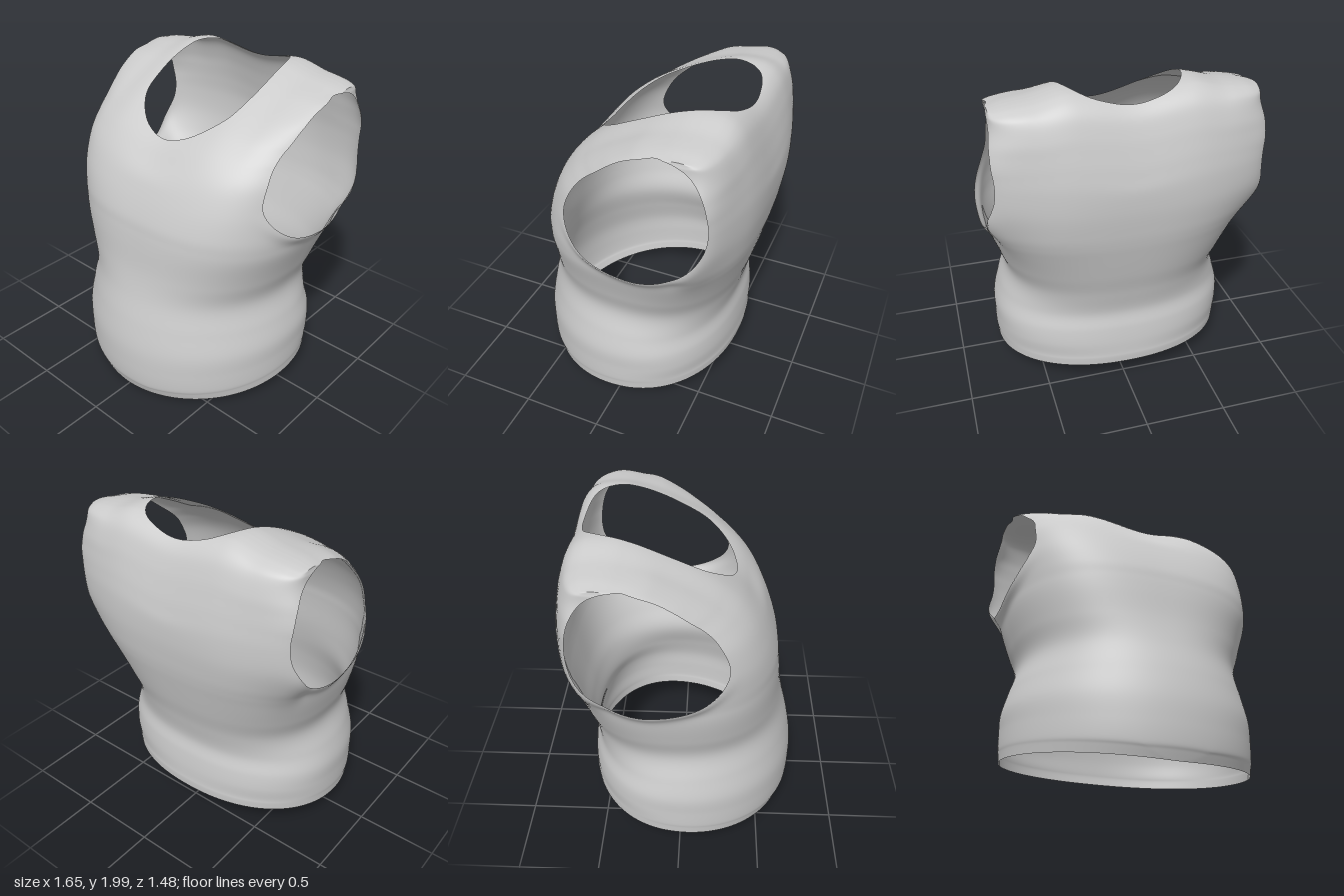
import * as THREE from 'three';
import { mergeVertices } from 'three/addons/utils/BufferGeometryUtils.js';

// body cross-sections, hem to shoulder ridge:
// y, half width, front z, back z, z of widest point, front squareness, back squareness
const SECTIONS = [
  [0.000, 0.758, 0.705, -0.605, -0.01, 2.0, 2.2],
  [0.050, 0.762, 0.722, -0.608, -0.01, 2.0, 2.2],
  [0.090, 0.766, 0.734, -0.606, -0.01, 2.0, 2.2],
  [0.200, 0.766, 0.740, -0.602, -0.01, 2.0, 2.3],
  [0.350, 0.764, 0.735, -0.590, -0.01, 2.0, 2.3],
  [0.520, 0.730, 0.705, -0.570, -0.01, 2.0, 2.3],
  [0.700, 0.687, 0.660, -0.600, -0.02, 2.1, 2.4],
  [0.860, 0.728, 0.630, -0.645, -0.05, 2.3, 2.5],
  [1.030, 0.776, 0.613, -0.687, -0.09, 2.5, 2.7],
  [1.120, 0.790, 0.602, -0.707, -0.11, 2.6, 2.9],
  [1.210, 0.798, 0.586, -0.721, -0.13, 2.7, 3.1],
  [1.350, 0.800, 0.535, -0.735, -0.15, 2.9, 3.3],
  [1.500, 0.800, 0.460, -0.735, -0.18, 3.0, 3.3],
  [1.620, 0.797, 0.370, -0.718, -0.22, 3.0, 3.4],
  [1.720, 0.790, 0.250, -0.695, -0.27, 3.4, 3.7],
  [1.810, 0.780, 0.100, -0.670, -0.32, 4.8, 4.2],
  [1.900, 0.770, -0.080, -0.635, -0.37, 8.0, 4.5],
  [1.955, 0.766, -0.210, -0.590, -0.40, 9.0, 5.0],
  [1.986, 0.762, -0.310, -0.535, -0.42, 9.0, 6.0],
  [1.997, 0.760, -0.370, -0.482, -0.427, 9.0, 8.0],
  [2.000, 0.760, -0.427, -0.427, -0.427, 9.0, 9.0],
];
// hole outlines: armhole as (z, y), neckline as (x, z)
const ARMHOLE = [[0.28, 1.40], [0.2, 1.58], [0.05, 1.72], [-0.1, 1.83], [-0.25, 1.89], [-0.36, 1.9],
  [-0.47, 1.86], [-0.56, 1.74], [-0.6, 1.55], [-0.58, 1.4], [-0.5, 1.27], [-0.38, 1.17], [-0.2, 1.12],
  [0, 1.145], [0.15, 1.205], [0.25, 1.3]];
const NECK = [[0.36, -0.2], [0.355, -0.02], [0.32, 0.14], [0.2, 0.265], [0.06, 0.315], [-0.06, 0.315], [-0.2, 0.265],
  [-0.32, 0.14], [-0.355, -0.02], [-0.36, -0.2], [-0.33, -0.41], [-0.25, -0.53], [-0.1, -0.575], [0.1, -0.575],
  [0.25, -0.53], [0.33, -0.41]];

const smooth = THREE.MathUtils.smoothstep;
const bell = (v, width) => Math.exp(-((v / width) ** 2));

// signed distance outside a rounded outline, measured along rays from its middle
function outline(points, cx, cy) {
  const curve = new THREE.CatmullRomCurve3(points.map(([a, b]) => new THREE.Vector3(a - cx, b - cy, 0)), true);
  const polar = curve.getPoints(300).map(p => [Math.atan2(p.y, p.x), Math.hypot(p.x, p.y)]).sort((a, b) => a[0] - b[0]);
  const first = polar[0], last = polar[polar.length - 1];
  polar.unshift([last[0] - 2 * Math.PI, last[1]]);
  polar.push([first[0] + 2 * Math.PI, first[1]]);
  return (a, b) => {
    const ang = Math.atan2(b - cy, a - cx);
    let i = 1;
    while (i < polar.length - 1 && polar[i][0] < ang) i++;
    const [a0, r0] = polar[i - 1], [a1, r1] = polar[i];
    const k = a1 > a0 ? (ang - a0) / (a1 - a0) : 0;
    return Math.hypot(a - cx, b - cy) - (r0 + (r1 - r0) * k);
  };
}
const armOutline = outline(ARMHOLE, -0.17, 1.5);
const neckOutline = outline(NECK, 0, -0.13);

// closed garment surface before the openings are cut
function makeSurface() {
  const spline = cols => new THREE.CatmullRomCurve3(
    SECTIONS.map(s => new THREE.Vector3(...cols.map(c => s[c]))), false, 'catmullrom', 0.5);
  const outer = spline([0, 1, 2]), inner = spline([3, 4, 5]), back = spline([4, 5, 6]);
  return (angle, t) => {
    const a = outer.getPoint(t), b = inner.getPoint(t), nb = back.getPoint(t).z;
    const c = Math.cos(angle), s = Math.sin(angle), n = s > 0 ? b.z : nb;
    const r = Math.pow(Math.abs(c) ** n + Math.abs(s) ** n, -1 / n);
    let x = a.y * r * c, y = a.x;
    const z = b.y + (s > 0 ? a.z - b.y : b.y - b.x) * r * s;
    const side = Math.abs(x);
    // hem rises towards the back
    y += 0.139 * Math.max(0, 0.705 - z) ** 0.75 * (1 - smooth(y, 0, 0.7));
    // shoulders slope down outwards, neckline dips in the middle
    y -= smooth(a.x, 1.45, 1.9) * (0.035 * smooth(side, 0.32, 0.55) + 0.018 * smooth(side, 0.55, 0.78));
    y -= smooth(a.x, 1.92, 2) * (0.02 * smooth(side, 0.35, 0.65) + 0.015 * smooth(side, 0.66, 0.78));
    y -= 0.045 * smooth(a.x, 1.4, 1.6) * bell(x, 0.24);
    // armhole rim stands out from the side below, and flares wider at the back
    const gap = armOutline(z, y);
    const rim = 0.032 * bell(gap, 0.045) * smooth(side, 0.5, 0.72) * (1 - smooth(y, 1.12, 1.4));
    const flare = 0.085 * bell(gap, 0.12) * smooth(side, 0.42, 0.68) * smooth(-z, 0.38, 0.58) * (1 - smooth(y, 1.6, 1.88));
    x += Math.sign(x) * (rim + flare);
    // slight lean to the right away from the rim
    x -= 0.012 * (1 - bell(y - 1.13, 0.15));
    return new THREE.Vector3(x, y, z);
  };
}

// keep the part of a polygon where f >= 0
function clip(poly, f) {
  const d = poly.map(f), out = [];
  poly.forEach((p, i) => {
    const j = (i + 1) % poly.length;
    if (d[i] >= 0) out.push(p);
    if ((d[i] >= 0) !== (d[j] >= 0)) {
      // interpolate from the kept side so neighbours share the point
      const [k, l] = d[i] >= 0 ? [i, j] : [j, i];
      out.push(poly[k].clone().lerp(poly[l], d[k] / (d[k] - d[l])));
    }
  });
  return out;
}

function makeShell() {
  const U = 192, V = 160;
  const surface = makeSurface();
  const armhole = p => (Math.abs(p.x) > 0.5 ? armOutline(p.z, p.y) : 1);
  const neck = p => (p.y > 1.4 ? neckOutline(p.x, p.z) : 1);

  const rows = [];
  for (let j = 0; j <= V; j++) {
    const row = [];
    for (let i = 0; i < U; i++) row.push(surface(i / U * Math.PI * 2, j / V));
    rows.push(row);
  }
  const positions = [];
  const addTriangle = tri => {
    let poly = clip(tri, armhole);
    if (poly.length > 2) poly = clip(poly, neck);
    for (let k = 1; k + 1 < poly.length; k++) {
      for (const p of [poly[0], poly[k], poly[k + 1]]) positions.push(p.x, p.y, p.z);
    }
  };
  for (let j = 0; j < V; j++) {
    for (let i = 0; i < U; i++) {
      const n = (i + 1) % U;
      const a = rows[j][i], b = rows[j][n], c = rows[j + 1][n], d = rows[j + 1][i];
      addTriangle([a, d, c]);
      addTriangle([a, c, b]);
    }
  }
  let geometry = new THREE.BufferGeometry();
  geometry.setAttribute('position', new THREE.Float32BufferAttribute(positions, 3));
  geometry = mergeVertices(geometry, 1e-4);
  geometry.computeVertexNormals();
  return geometry;
}

export function createModel() {
  const group = new THREE.Group();
  group.name = 'sleevelessTop';
  const fabric = new THREE.MeshStandardMaterial({ color: 0xcccccc, side: THREE.DoubleSide });
  fabric.name = 'light grey fabric';
  const shell = new THREE.Mesh(makeShell(), fabric);
  shell.name = 'garmentBody';
  group.add(shell);
  return group;
}
